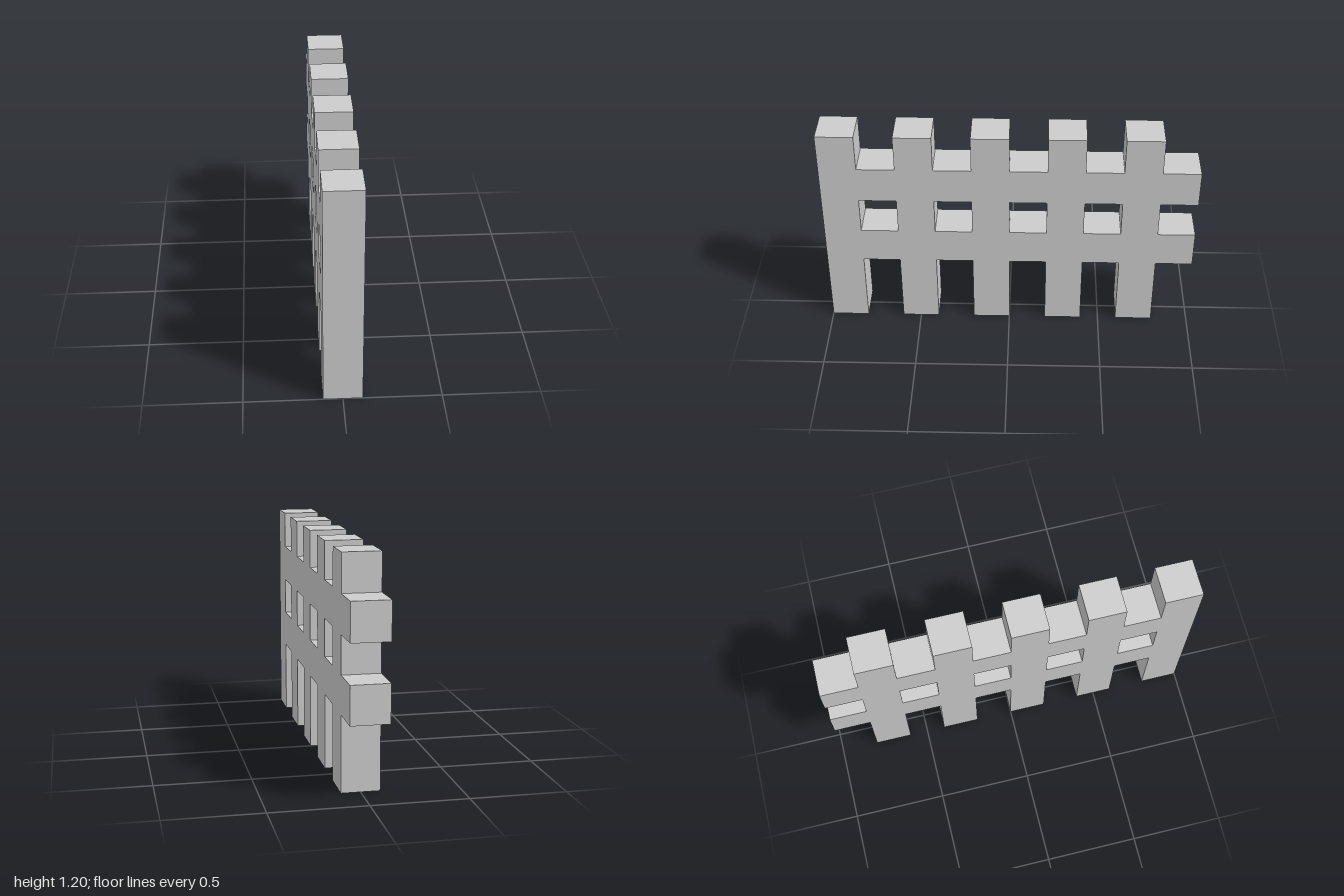
import * as THREE from 'three';

const POSTS = 5, W = 0.2, PITCH = 0.4, HEIGHT = 1.2;
const RAILS = [0.4, 0.8]; // underside of each rail, W tall

export function createModel() {
  const group = new THREE.Group();
  group.name = 'fence';
  const starts = Array.from({ length: POSTS }, (_, i) => -1 + i * PITCH);
  const last = starts[POSTS - 1] + W;
  const lowRail = RAILS[0], highRail = RAILS[1] + W;
  const pts = [];

  // Post feet, with the lower rail's underside between them
  starts.forEach((u, i) => {
    if (i > 0) pts.push([u, lowRail]);
    pts.push([u, 0], [u + W, 0]);
    if (i < POSTS - 1) pts.push([u + W, lowRail]);
  });

  // Rail ends standing out past the last post
  for (const y of RAILS) {
    pts.push([last, y], [last + W, y], [last + W, y + W], [last, y + W]);
  }

  // Post tops, with the upper rail's top between them
  [...starts].reverse().forEach((u, i) => {
    if (i > 0) pts.push([u + W, highRail]);
    pts.push([u + W, HEIGHT], [u, HEIGHT]);
    if (i < POSTS - 1) pts.push([u, highRail]);
  });

  const shape = new THREE.Shape(pts.map(([u, y]) => new THREE.Vector2(u, y)));

  // Square openings between posts and rails
  for (const u of starts.slice(0, -1)) {
    const a = u + W, b = u + PITCH, y0 = RAILS[0] + W, y1 = RAILS[1];
    shape.holes.push(new THREE.Path([
      new THREE.Vector2(a, y0), new THREE.Vector2(a, y1),
      new THREE.Vector2(b, y1), new THREE.Vector2(b, y0),
    ]));
  }

  // One solid panel, thickness along x, first post at the front
  const geometry = new THREE.ExtrudeGeometry(shape, { depth: W, bevelEnabled: false });
  geometry.translate(0, 0, -W / 2).rotateY(Math.PI / 2);
  const panel = new THREE.Mesh(
    geometry,
    new THREE.MeshStandardMaterial({ color: 0xcccccc, flatShading: true })
  );
  panel.name = 'postsAndRails';
  group.add(panel);
  return group;
}
